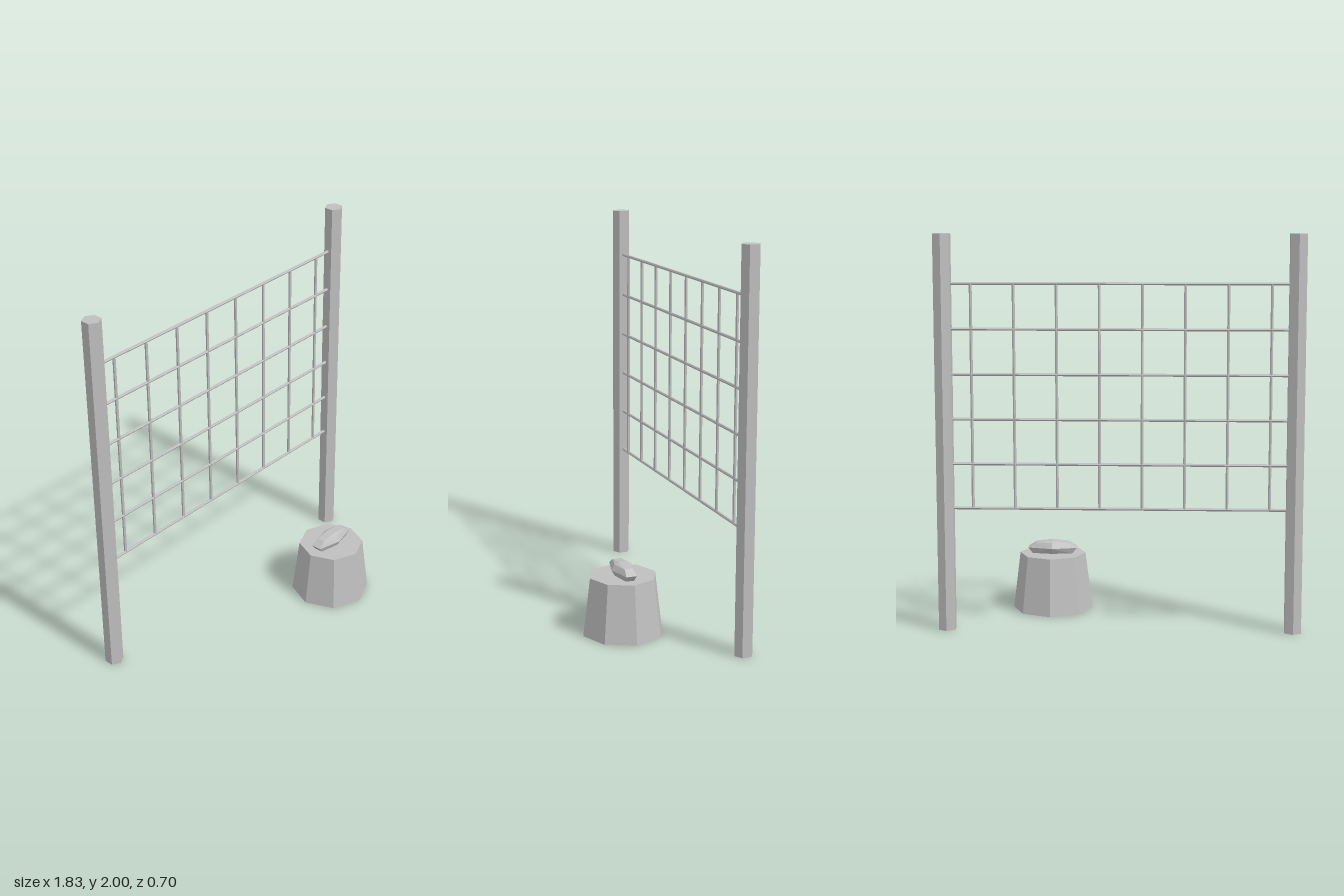
import * as THREE from 'three';
import { ConvexGeometry } from 'three/addons/geometries/ConvexGeometry.js';

export function createModel() {
  const model = new THREE.Group();
  model.name = 'netAndBasket';
  const grey = new THREE.MeshStandardMaterial({ color: 0xbfbfbf, flatShading: true });
  grey.name = 'grey';

  const add = (name, geometry, parent, x, y, z) => {
    const mesh = new THREE.Mesh(geometry, grey);
    mesh.name = name;
    mesh.position.set(x, y, z);
    parent.add(mesh);
    return mesh;
  };

  // Hexagonal posts
  const netZ = -0.302;
  const postX = 0.875;
  const postGeometry = new THREE.CylinderGeometry(0.048, 0.048, 2, 6);
  add('leftPost', postGeometry, model, postX, 1, netZ);
  add('rightPost', postGeometry, model, -postX, 1, netZ);

  // Net of thin cords
  const net = new THREE.Group();
  net.name = 'net';
  model.add(net);
  const bottom = 0.628, top = 1.755, rows = 6, columns = 8;
  const rowGeometry = new THREE.CylinderGeometry(0.008, 0.008, postX * 2 - 0.06, 6);
  rowGeometry.rotateZ(Math.PI / 2);
  const columnGeometry = new THREE.CylinderGeometry(0.008, 0.008, top - bottom, 6);
  for (let i = 0; i < rows; i++) {
    add('horizontalCord', rowGeometry, net, 0, bottom + (top - bottom) * i / (rows - 1), netZ);
  }
  for (let i = 0; i < columns; i++) {
    add('verticalCord', columnGeometry, net, -0.75 + i * 0.2122, (top + bottom) / 2, netZ);
  }

  // Tapered octagonal basket
  const basket = new THREE.Group();
  basket.name = 'basket';
  basket.position.set(0.373, 0, 0.14);
  model.add(basket);
  add('basketBody', new THREE.CylinderGeometry(0.174, 0.211, 0.3, 8), basket, 0, 0.15, 0);

  // Faceted handle from stacked levels: [height, half length, end half depth, middle half depth]
  const levels = [
    [0.298, 0.105, 0.022, 0.042],
    [0.33, 0.129, 0.027, 0.06],
    [0.358, 0.088, 0.022, 0.043],
  ];
  const points = [];
  for (const [y, length, endDepth, midDepth] of levels) {
    for (const side of [-1, 1]) {
      points.push(new THREE.Vector3(-length, y, side * endDepth));
      points.push(new THREE.Vector3(0, y, side * midDepth));
      points.push(new THREE.Vector3(length, y, side * endDepth));
    }
  }
  for (const side of [-1, 1]) points.push(new THREE.Vector3(0, 0.368, side * 0.022));
  add('handle', new ConvexGeometry(points), basket, 0, 0, 0);

  return model;
}
